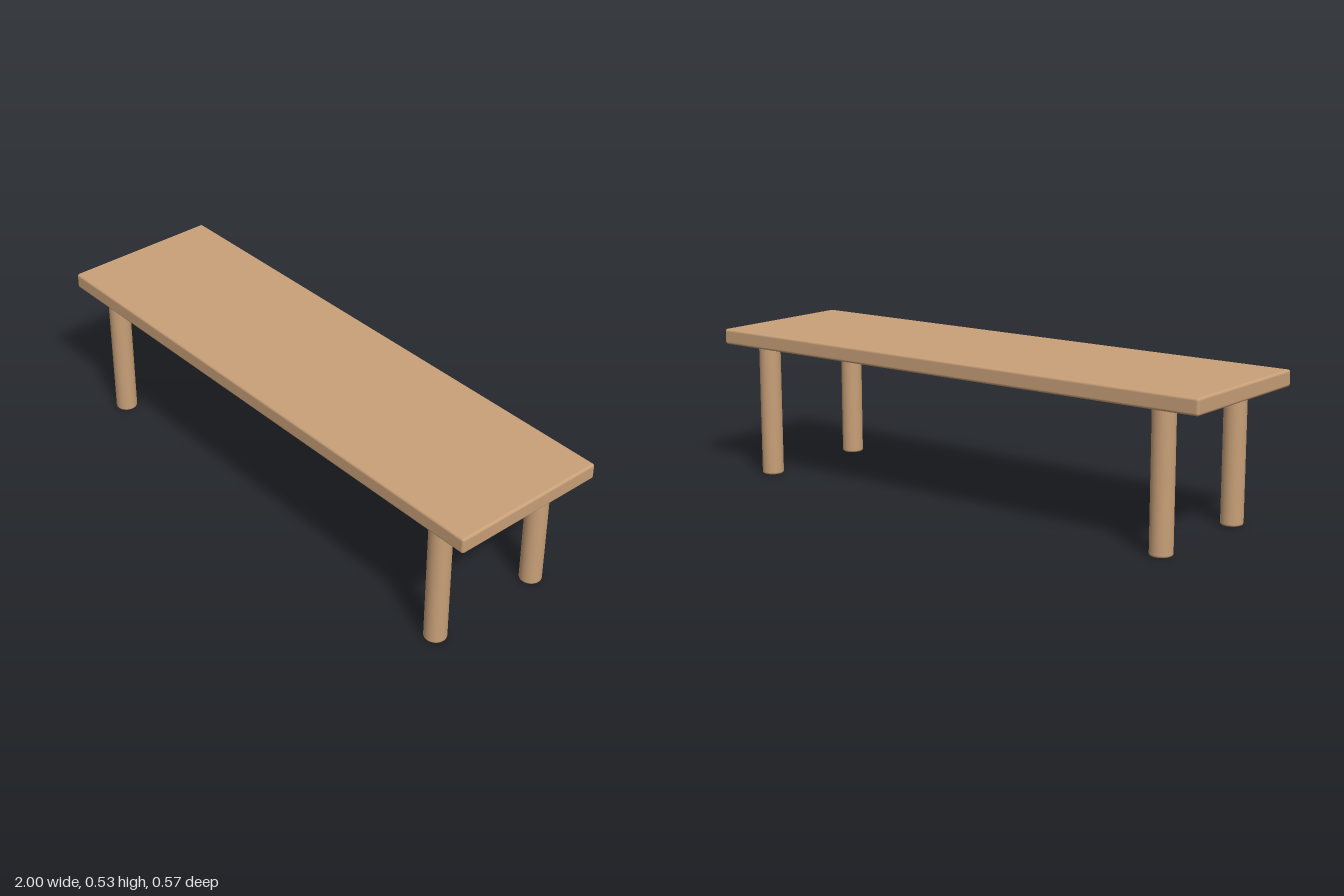
import * as THREE from 'three';
import { RoundedBoxGeometry } from 'three/addons/geometries/RoundedBoxGeometry.js';

const LEG_RADIUS = 0.0385;
const LEG_HEIGHT = 0.474;
const LEG_BEVEL = 0.007;
const TOP_Y = 0.472;
const TOP_THICKNESS = 0.056;

// Round leg profile: flat foot, rounded lower edge, straight side, closed top
function legGeometry() {
  const inner = LEG_RADIUS - LEG_BEVEL;
  const profile = [new THREE.Vector2(0, 0), new THREE.Vector2(inner - 0.001, 0)];
  for (let i = 0; i <= 5; i++) {
    const a = (i / 5) * Math.PI / 2;
    profile.push(new THREE.Vector2(
      inner + LEG_BEVEL * Math.sin(a),
      LEG_BEVEL * (1 - Math.cos(a))
    ));
  }
  profile.push(
    new THREE.Vector2(LEG_RADIUS, LEG_BEVEL + 0.001),
    new THREE.Vector2(LEG_RADIUS, LEG_HEIGHT - 0.001),
    new THREE.Vector2(LEG_RADIUS, LEG_HEIGHT),
    new THREE.Vector2(0, LEG_HEIGHT)
  );
  return new THREE.LatheGeometry(profile, 40);
}

export function createModel() {
  const group = new THREE.Group();
  group.name = 'bench';
  const wood = new THREE.MeshStandardMaterial({ color: 0xc8a078 });

  // Seat board with softly rounded edges
  const seat = new THREE.Mesh(new RoundedBoxGeometry(2, TOP_THICKNESS, 0.572, 4, 0.009), wood);
  seat.name = 'seat';
  seat.position.y = TOP_Y + TOP_THICKNESS / 2;
  group.add(seat);

  // Four legs, mirrored about both axes
  const geometry = legGeometry();
  for (const [side, sx] of [['Left', 1], ['Right', -1]]) {
    for (const [end, sz] of [['front', 1], ['back', -1]]) {
      const leg = new THREE.Mesh(geometry, wood);
      leg.name = `${end}${side}Leg`;
      leg.position.set(sx * 0.84, 0, sz * 0.2175);
      group.add(leg);
    }
  }
  return group;
}
